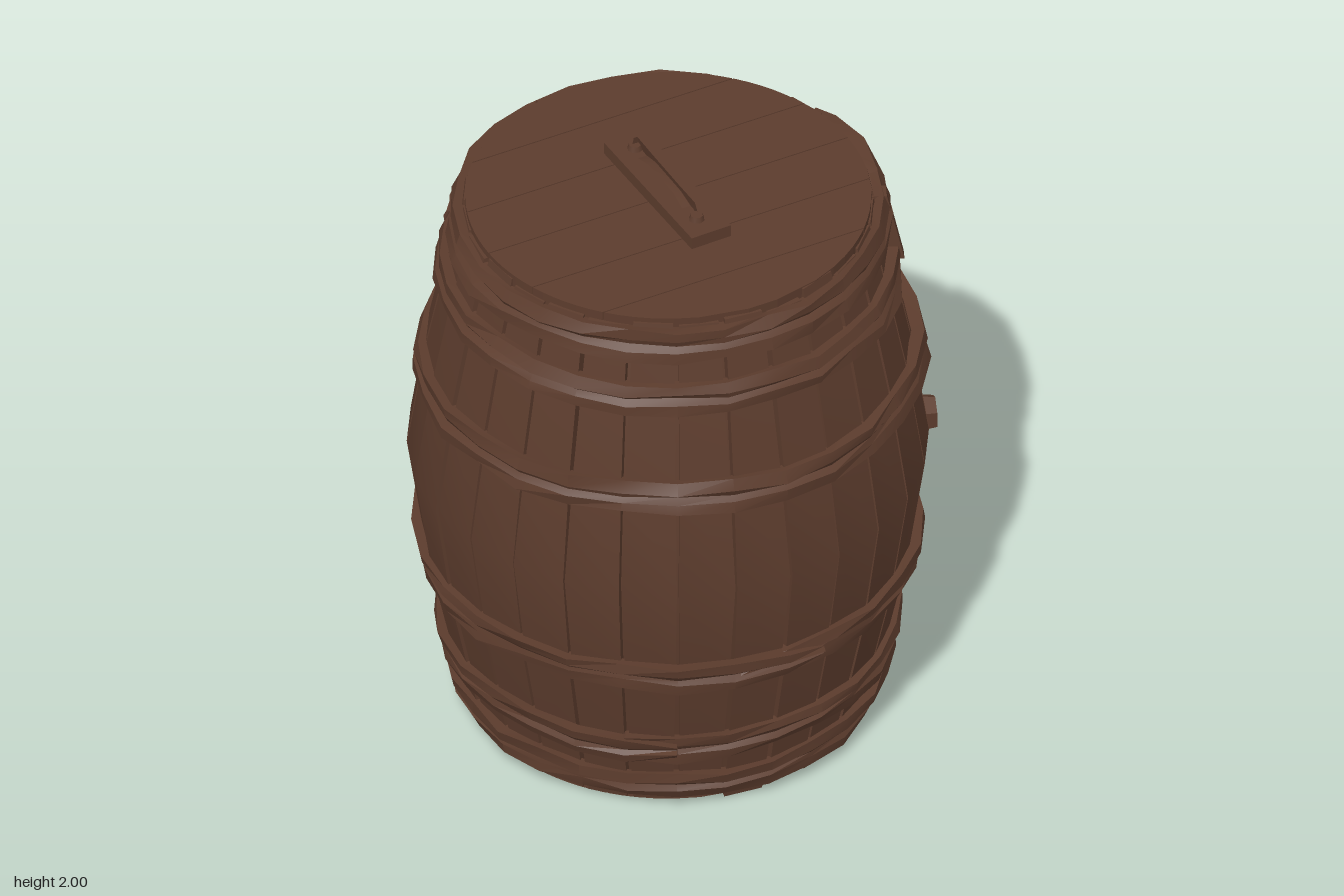
import * as THREE from 'three';
import { toCreasedNormals } from 'three/addons/utils/BufferGeometryUtils.js';

const STAVES = 28;
const STEP = (Math.PI * 2) / STAVES;

// barrel radius by height
const PROFILE = [[0, 0.645], [0.25, 0.7], [0.55, 0.765], [0.96, 0.825], [1.35, 0.765], [1.62, 0.71], [1.91, 0.645]];
function radiusAt(y) {
  for (let i = 1; i < PROFILE.length; i++) {
    const [y0, r0] = PROFILE[i - 1], [y1, r1] = PROFILE[i];
    if (y <= y1) return r0 + ((r1 - r0) * (y - y0)) / (y1 - y0);
  }
  return 0.645;
}

// small seeded random, -1 to 1
function makeJitter(seed) {
  let s = seed;
  return (amount) => {
    s = (s * 16807) % 2147483647;
    return ((s / 2147483647) * 2 - 1) * amount;
  };
}

const polar = (r, y, a) => [r * Math.sin(a), y, r * Math.cos(a)];

// closed solid through equal cross-section loops, capped at both ends
function loft(rings, crease) {
  const n = rings[0].length, last = rings.length - 1;
  const pos = rings.flat(2), index = [];
  for (let i = 0; i < last; i++) {
    for (let j = 0; j < n; j++) {
      const a = i * n + j, b = i * n + ((j + 1) % n);
      index.push(a, b, a + n, b, b + n, a + n);
    }
  }
  for (let j = 1; j < n - 1; j++) {
    index.push(0, j + 1, j, last * n, last * n + j, last * n + j + 1);
  }
  const g = new THREE.BufferGeometry();
  g.setAttribute('position', new THREE.Float32BufferAttribute(pos, 3));
  g.setIndex(index);
  return toCreasedNormals(g, crease);
}

// one bent plank of the barrel wall
function staveGeometry(k, jitter) {
  const mid = (k + 0.5) * STEP;
  const top = 1.895 + jitter(0.015), bottom = 0.012 + jitter(0.012);
  const shift = jitter(0.004);
  const levels = [bottom, 0.25, 0.55, 0.96, 1.35, 1.62, top];
  return loft(levels.map((y) => {
    const r = radiusAt(y) + shift;
    const gap = 0.002 + 0.006 * Math.abs(y - 0.96) + Math.abs(jitter(0.003));
    const half = STEP / 2 - gap / r;
    return [polar(r, y, mid - half), polar(r, y, mid + half), polar(r - 0.05, y, mid + half), polar(r - 0.05, y, mid - half)];
  }), 0.6);
}

// rough two-ridged band whose ends overlap
function hoopGeometry(y, h, start, overlap, seed) {
  const jitter = makeJitter(seed);
  const end = start + Math.PI * 2 + overlap;
  const angles = [start];
  for (let k = Math.ceil(start / STEP + 0.3); k * STEP < end - 0.05; k++) angles.push(k * STEP);
  angles.push(end);
  return loft(angles.map((a, i) => {
    const tip = i === 0 || i === angles.length - 1;
    const lift = a > start + Math.PI * 2 - 0.25 ? 0.014 : 0;
    const half = h * (tip ? 0.22 : 0.5);
    const c = y + jitter(0.008);
    const at = (dy, out) => polar(radiusAt(c + dy) + out + lift, c + dy, a);
    return [
      at(half + jitter(0.007), 0.026 + jitter(0.01)),
      at(half * 0.3 + jitter(0.006), 0.03 + jitter(0.007)),
      at(jitter(0.004), 0.016 + jitter(0.004)),
      at(-half * 0.3 + jitter(0.006), 0.028 + jitter(0.007)),
      at(-half + jitter(0.007), 0.026 + jitter(0.01)),
      at(-half * 0.9, -0.012),
      at(half * 0.9, -0.012),
    ];
  }), 0.35);
}

// plank cut from a disc between two z values
function headPlank(z0, z1, radius, thick) {
  const pts = [];
  const xAt = (z) => Math.sqrt(Math.max(0, radius * radius - z * z));
  for (let i = 0; i <= 6; i++) {
    const z = z0 + ((z1 - z0) * i) / 6;
    pts.push(new THREE.Vector2(xAt(z), z));
  }
  for (let i = 6; i >= 0; i--) {
    const z = z0 + ((z1 - z0) * i) / 6;
    if (xAt(z) > 0.001) pts.push(new THREE.Vector2(-xAt(z), z));
  }
  const g = new THREE.ExtrudeGeometry(new THREE.Shape(pts), { depth: thick, bevelEnabled: false });
  return g.rotateX(Math.PI / 2);
}

export function createModel() {
  const barrel = new THREE.Group();
  barrel.name = 'barrel';
  const wood = new THREE.MeshStandardMaterial({ color: 0x5c3c2d });
  wood.name = 'dark brown wood';

  const add = (parent, name, geometry) => {
    const mesh = new THREE.Mesh(geometry, wood);
    mesh.name = name;
    parent.add(mesh);
    return mesh;
  };
  const group = (name) => {
    const g = new THREE.Group();
    g.name = name;
    barrel.add(g);
    return g;
  };

  // wall
  const staves = group('staves');
  const jitter = makeJitter(4211);
  for (let k = 0; k < STAVES; k++) add(staves, 'stave', staveGeometry(k, jitter));
  const lining = PROFILE.map(([y, r]) => new THREE.Vector2(r - 0.035, Math.min(Math.max(y, 0.03), 1.87)));
  add(barrel, 'lining', new THREE.LatheGeometry(lining, STAVES));

  // lid and base, six planks each
  for (const [name, top, r] of [['lid', 1.912, 0.64], ['base', 0.045, 0.63]]) {
    const head = group(name);
    for (let i = -3; i < 3; i++) {
      const z0 = Math.max(i * 0.22, -r) + 0.002;
      const z1 = Math.min((i + 1) * 0.22, r) - 0.002;
      add(head, name + 'Plank', headPlank(z0, z1, r, 0.045)).position.y = top;
    }
    const backing = add(head, name + 'Backing', new THREE.CylinderGeometry(r - 0.02, r - 0.02, 0.02, STAVES));
    backing.position.y = top - 0.0225;
  }

  // hoops: height, width, start angle, overlap
  const hoops = group('hoops');
  [
    [1.83, 0.105, 1.15, 0.78],
    [1.65, 0.1, 3.6, 0.3],
    [1.305, 0.105, 1.35, 0.6],
    [0.6, 0.1, -0.2, 0.36],
    [0.27, 0.1, -0.75, 0.3],
    [0.095, 0.1, 1.2, 0.3],
  ].forEach(([y, h, start, overlap], i) => add(hoops, 'hoop', hoopGeometry(y, h, start, overlap, 977 + i * 131)));

  // loose end of the top hoop hanging down
  const tail = [1.64, 1.7, 1.78, 1.885].map((y, i) => {
    const r = radiusAt(y), a = 1.15 + i * 0.006, w = 0.03 + i * 0.004;
    return [polar(r + 0.04, y, a - w), polar(r + 0.04, y, a + w), polar(r - 0.01, y, a + w), polar(r - 0.01, y, a - w)];
  });
  add(hoops, 'hoopLooseEnd', loft(tail, 0.4));

  // six-sided plug on the left side
  const plugAngle = Math.atan2(0.775, 0.28);
  const plugGeometry = new THREE.CylinderGeometry(0.055, 0.066, 0.07, 6).rotateX(Math.PI / 2);
  const plug = add(barrel, 'plug', toCreasedNormals(plugGeometry, 0.4));
  plug.position.set(...polar(0.815, 0.965, plugAngle));
  plug.rotation.y = plugAngle;

  // lid handle: worn plate and arched grip
  const handle = group('handle');
  const plate = add(handle, 'handlePlate', new THREE.BoxGeometry(0.142, 0.045, 0.57));
  plate.position.set(0, 1.932, -0.005);
  plate.rotation.y = 0.02;
  const grip = [[-0.225, 1.94, 0.024], [-0.212, 2.0, 0.016], [-0.1, 2.0, 0.013], [0.07, 2.0, 0.013], [0.175, 2.0, 0.016], [0.21, 1.94, 0.024]];
  add(handle, 'handleGrip', loft(grip.map(([z, y, w], i) => {
    const end = i === 0 || i === grip.length - 1;
    const under = end ? 1.935 : i === 1 || i === 4 ? 1.95 : 1.972;
    const inner = i === 1 ? 0.03 : i === 4 ? -0.03 : 0;
    const x = -0.004;
    return [[x - w, under, z + inner], [x - w * 0.4, y, z], [x + w * 0.4, y, z], [x + w, under, z + inner]].reverse()
      .map((p) => p);
  }).map((ring) => ring.reverse()), 0.4));
  for (const z of [-0.215, 0.2]) {
    add(handle, 'handleFoot', new THREE.CylinderGeometry(0.02, 0.026, 0.02, 8)).position.set(-0.004, 1.962, z);
  }
  return barrel;
}
